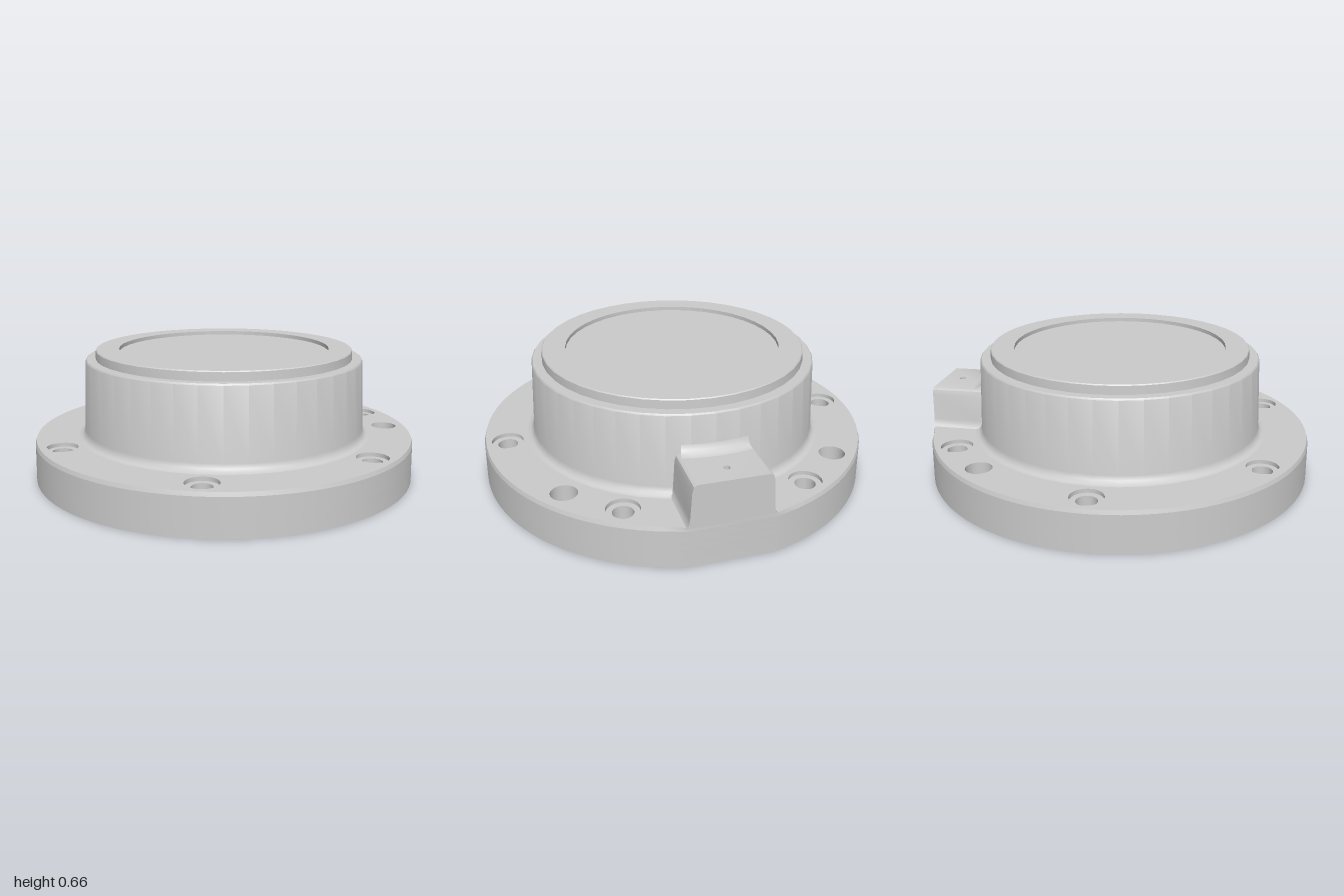
import * as THREE from 'three';
import { toCreasedNormals } from 'three/addons/utils/BufferGeometryUtils.js';

const grey = new THREE.MeshStandardMaterial({ color: 0xcccccc });
const rad = THREE.MathUtils.degToRad;
const SEG = 40;
const PITCH = 0.88; // radius of the bolt circle

function addMesh(parent, name, geometry) {
  const mesh = new THREE.Mesh(toCreasedNormals(geometry, 0.6), grey);
  mesh.name = name;
  parent.add(mesh);
  return mesh;
}

// Angles run from +x towards the back (-z).
const polar = (deg, r = PITCH) => [r * Math.cos(rad(deg)), r * Math.sin(rad(deg))];

const roundHole = (x, y, r) => new THREE.Path().absarc(x, y, r, 0, Math.PI * 2, false);

// Curved slot with round ends, following the bolt circle
function slot(fromDeg, toDeg) {
  const w = 0.06, a0 = rad(fromDeg), a1 = rad(toDeg);
  const p = new THREE.Path();
  p.absarc(0, 0, PITCH + w, a0, a1, false);
  p.absarc(...polar(toDeg), w, a1, a1 + Math.PI, false);
  p.absarc(0, 0, PITCH - w, a1, a0, true);
  p.absarc(...polar(fromDeg), w, a0 + Math.PI, a0 + Math.PI * 2, false);
  return p;
}

const pocket = (deg) =>
  new THREE.Path().absellipse(...polar(deg), 0.06, 0.037, 0, Math.PI * 2, false, rad(deg));

// One horizontal slice of the flange: round with a flat at the back
function flangeLayer(y0, y1, boltR, pinR, slotted) {
  const a = Math.asin(0.98);
  const shape = new THREE.Shape().absarc(0, 0, 1, Math.PI - a, Math.PI * 2 + a, false);
  shape.holes.push(roundHole(0, 0, 0.77));
  for (let d = 0; d < 360; d += 60) shape.holes.push(roundHole(...polar(d), boltR));
  for (const d of [40, 140]) shape.holes.push(roundHole(...polar(d), pinR));
  if (slotted) {
    for (const [s, e] of [[11, 29], [71, 109], [151, 169], [191, 229], [251, 289], [311, 349]])
      shape.holes.push(slot(s, e));
    for (const d of [50, 130]) shape.holes.push(pocket(d));
  }
  const g = new THREE.ExtrudeGeometry(shape, { depth: y1 - y0, bevelEnabled: false, curveSegments: SEG });
  g.rotateX(-Math.PI / 2).translate(0, y0, 0);
  // slight draft and a softened top edge on the rim
  const p = g.attributes.position;
  for (let i = 0; i < p.count; i++) {
    const x = p.getX(i), y = p.getY(i), z = p.getZ(i);
    if (Math.hypot(x, z) < 0.975) continue;
    const k = 1 - 0.02 * y - (y > 0.205 ? 0.006 : 0);
    p.setX(i, x * k);
    if (z > -0.97) p.setZ(i, z * k);
  }
  return g;
}

// Block at the back with a small blind hole, drafted sides and rounded top edges
function blockGeometry() {
  const ys = [0.205, 0.222, 0.25, 0.385, 0.41, 0.42];
  const halfWidths = [0.215, 0.2, 0.195, 0.187, 0.18, 0.165];
  const shape = new THREE.Shape();
  shape.moveTo(-0.2, 0.69).lineTo(0.2, 0.69).lineTo(0.2, 0.98).lineTo(-0.2, 0.98);
  shape.holes.push(roundHole(0, 0.88, 0.016));
  const steps = ys.length - 1;
  const g = new THREE.ExtrudeGeometry(shape, { depth: steps, steps, bevelEnabled: false, curveSegments: 12 });
  g.rotateX(-Math.PI / 2);
  const p = g.attributes.position;
  for (let i = 0; i < p.count; i++) {
    const k = Math.round(p.getY(i)), x = p.getX(i);
    p.setY(i, ys[k]);
    if (Math.abs(x) > 0.1) p.setX(i, Math.sign(x) * halfWidths[k]);
  }
  return g;
}

const profile = (pts) => pts.map(([r, y]) => new THREE.Vector2(r, y));

export function createModel() {
  const model = new THREE.Group();
  model.name = 'flangedHousing';
  const body = new THREE.Group();
  body.name = 'body';
  body.position.z = -0.01;
  model.add(body);

  // Flange: slots open below, counterbored holes above
  const flange = new THREE.Group();
  flange.name = 'flange';
  body.add(flange);
  addMesh(flange, 'flangeBase', flangeLayer(0, 0.1, 0.05, 0.04, true));
  addMesh(flange, 'flangeMiddle', flangeLayer(0.1, 0.14, 0.05, 0.065, true));
  addMesh(flange, 'flangeUpper', flangeLayer(0.14, 0.19, 0.05, 0.065, false));
  addMesh(flange, 'flangeTop', flangeLayer(0.19, 0.21, 0.08, 0.065, false));

  // Bottom plate closing the middle
  addMesh(body, 'bottomPlate', new THREE.CircleGeometry(0.77, SEG).rotateX(Math.PI / 2));

  // Drafted boss with a foot fillet, stepped rim and shallow recess
  addMesh(body, 'boss', new THREE.LatheGeometry(profile([
    [0.775, 0.21], [0.757, 0.215], [0.745, 0.227], [0.739, 0.25],
    [0.724, 0.605], [0.718, 0.613], [0.672, 0.613], [0.67, 0.655], [0.666, 0.66],
    [0.55, 0.66], [0.55, 0.64], [0, 0.64],
  ]), SEG));

  // Rear block and its fillet into the boss
  addMesh(body, 'rearBlock', blockGeometry());
  addMesh(body, 'blockFillet', new THREE.LatheGeometry(profile([
    [0.775, 0.42], [0.753, 0.426], [0.738, 0.441], [0.73, 0.465],
  ]), 8, Math.PI - 0.22, 0.44));

  return model;
}
